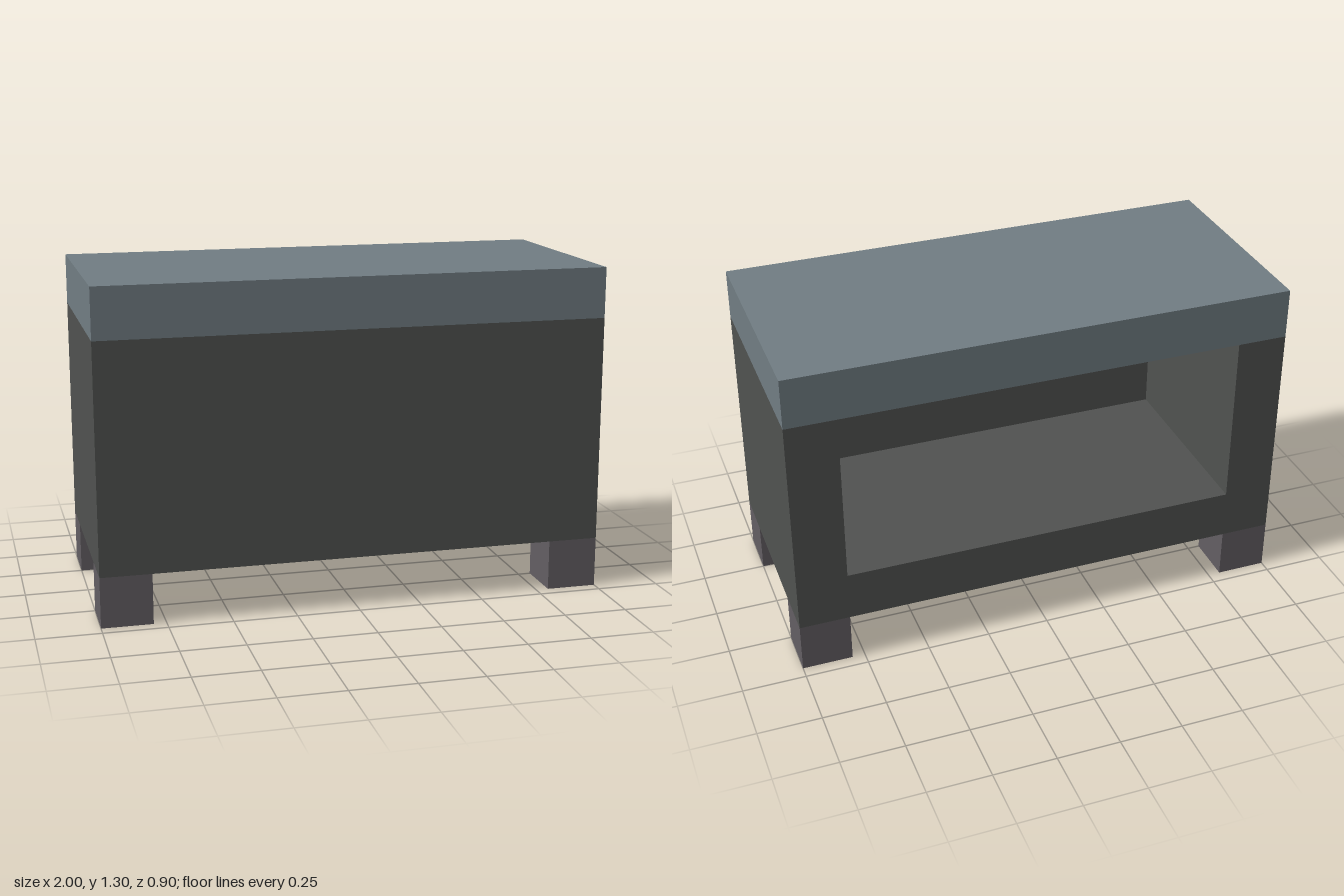
import * as THREE from 'three';

const W = 2, D = 0.9;               // overall footprint
const LEG = 0.2, BODY_TOP = 1.1, LID = 0.2;
const WALL = 0.2, FRONT = 0.1;      // carcass thicknesses

const paint = (color) => new THREE.MeshStandardMaterial({ color, flatShading: true });

function addMesh(parent, name, geometry, material, x, y, z) {
  const mesh = new THREE.Mesh(geometry, material);
  mesh.name = name;
  mesh.position.set(x, y, z);
  parent.add(mesh);
}

export function createModel() {
  const model = new THREE.Group();
  model.name = 'cabinet';
  const bodyPaint = paint(0x505250);
  const lidPaint = paint(0x717d83);
  const legPaint = paint(0x635e63);

  // Carcass: floor and two sides as one U section, open at the back
  const body = new THREE.Group();
  body.name = 'body';
  model.add(body);
  const half = W / 2, inner = half - WALL, floor = LEG + WALL;
  const section = new THREE.Shape([
    [-half, LEG], [half, LEG], [half, BODY_TOP], [inner, BODY_TOP],
    [inner, floor], [-inner, floor], [-inner, BODY_TOP], [-half, BODY_TOP],
  ].map(([x, y]) => new THREE.Vector2(x, y)));
  const shell = new THREE.ExtrudeGeometry(section, { depth: D - FRONT, bevelEnabled: false });
  addMesh(body, 'sidesAndFloor', shell, bodyPaint, 0, 0, -D / 2);

  // Closed front panel
  const height = BODY_TOP - LEG;
  addMesh(body, 'frontPanel', new THREE.BoxGeometry(W, height, FRONT), bodyPaint,
    0, LEG + height / 2, D / 2 - FRONT / 2);

  // Top slab
  addMesh(model, 'top', new THREE.BoxGeometry(W, LID, D), lidPaint, 0, BODY_TOP + LID / 2, 0);

  // Four cube feet, flush with the corners
  const foot = new THREE.BoxGeometry(LEG, LEG, LEG);
  for (const sx of [-1, 1]) {
    for (const sz of [-1, 1]) {
      const name = (sz > 0 ? 'front' : 'back') + (sx > 0 ? 'Left' : 'Right') + 'Foot';
      addMesh(model, name, foot, legPaint, sx * (W - LEG) / 2, LEG / 2, sz * (D - LEG) / 2);
    }
  }
  return model;
}
